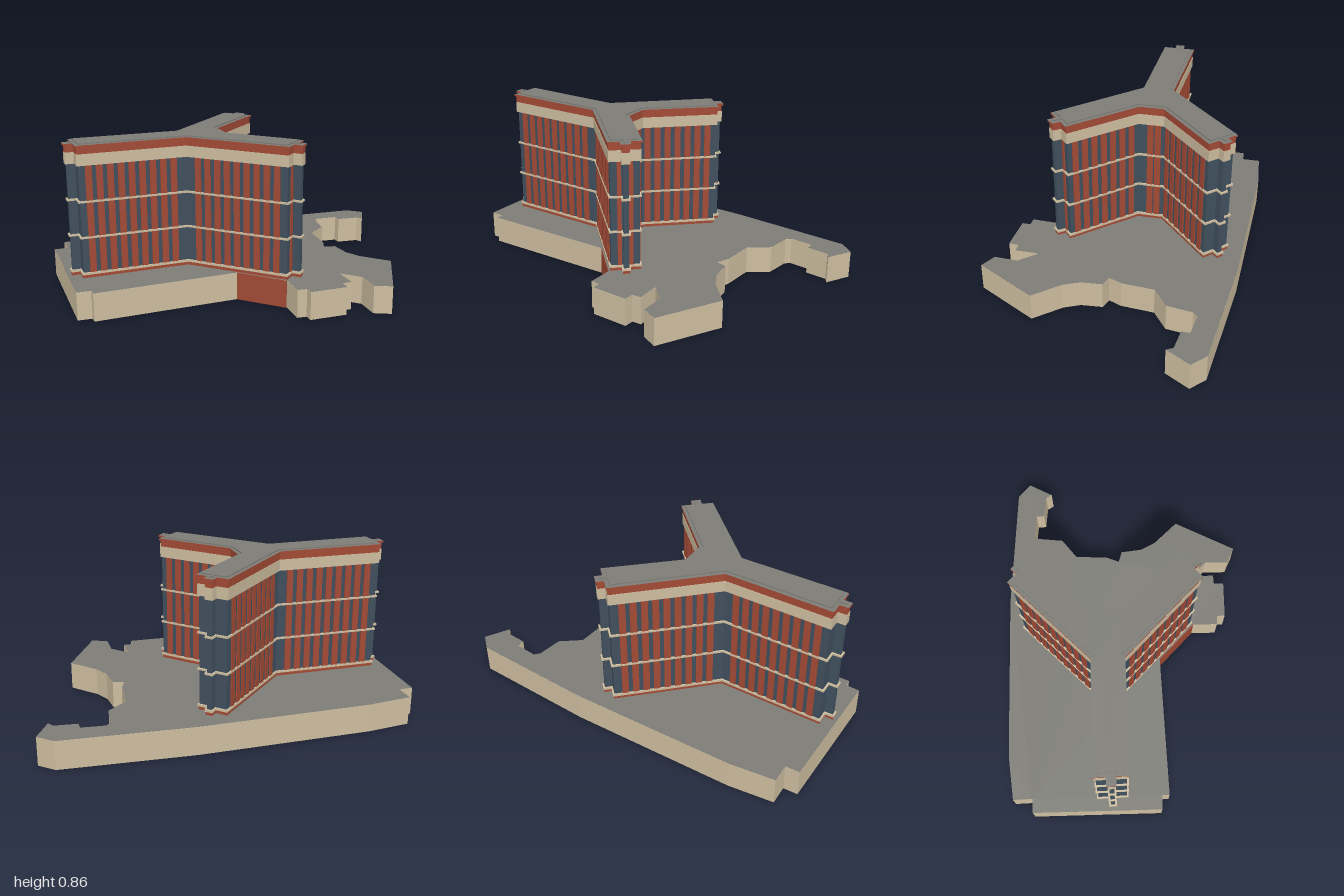
import * as THREE from 'three';

const mat = (name, color, side = THREE.FrontSide) => {
  const m = new THREE.MeshStandardMaterial({ color, side });
  m.name = name;
  return m;
};

// Ground plan of the podium, as [x, z]
const PODIUM = [
  [-0.905, -0.66], [-0.665, -0.68], [0.24, -0.66], [0.925, -0.6], [1, -0.53], [0.925, -0.4],
  [0.905, -0.435], [0.785, -0.45], [0.785, -0.495], [0.66, -0.51], [0.635, -0.485], [0.615, -0.345],
  [0.505, -0.265], [0.49, -0.085], [0.46, -0.015], [0.52, 0.005], [0.53, 0.12], [0.57, 0.205],
  [0.69, 0.34], [0.505, 0.67], [0.42, 0.625], [0.425, 0.495], [0.34, 0.405], [0.34, 0.535],
  [0.29, 0.535], [0.285, 0.59], [0.085, 0.58], [0.085, 0.535], [0.035, 0.53], [0.04, 0.39],
  [-0.155, 0.185], [-0.925, 0.185], [-0.925, 0.145], [-1, 0.14], [-0.98, -0.555], [-0.905, -0.555],
];

// Three-armed plan of the tower, with a small bay at each arm end
const TOWER = [
  [-0.93, -0.21], [-0.355, -0.19],
  [0.07, -0.59], [0.113, -0.545], [0.142, -0.573], [0.176, -0.538], [0.147, -0.51], [0.19, -0.465],
  [-0.125, -0.18], [-0.125, -0.045],
  [0.175, 0.275], [0.13, 0.315], [0.158, 0.35], [0.121, 0.385], [0.092, 0.348], [0.045, 0.39],
  [-0.355, -0.025], [-0.93, -0.035],
  [-0.93, -0.1], [-0.975, -0.1], [-0.975, -0.145], [-0.93, -0.145],
];

// Mitred offset of a plan; positive d grows it
function offset(plan, d) {
  const n = plan.length;
  const normal = (a, b) => {
    const dx = b[0] - a[0], dz = b[1] - a[1], l = Math.hypot(dx, dz);
    return [dz / l, -dx / l];
  };
  return plan.map((p, i) => {
    const a = normal(plan[(i + n - 1) % n], p);
    const b = normal(p, plan[(i + 1) % n]);
    const k = d / (1 + a[0] * b[0] + a[1] * b[1]);
    return [p[0] + (a[0] + b[0]) * k, p[1] + (a[1] + b[1]) * k];
  });
}

const toShape = (plan) => new THREE.Shape(plan.map(([x, z]) => new THREE.Vector2(x, -z)));

export function createModel() {
  const group = new THREE.Group();
  const brick = mat('brick', 0xa34a35);
  const stone = mat('stone', 0xcdbd9f);
  const glass = mat('glass', 0x40505e);
  const roof = mat('roof', 0x7d7c76);

  const add = (name, geometry, material) => {
    const mesh = new THREE.Mesh(geometry, material);
    mesh.name = name;
    group.add(mesh);
    return mesh;
  };
  // Upright slab of a plan between two heights
  const slab = (name, plan, y0, y1, material) => {
    const g = new THREE.ExtrudeGeometry(toShape(plan), { depth: y1 - y0, bevelEnabled: false });
    g.rotateX(-Math.PI / 2);
    g.translate(0, y0, 0);
    return add(name, g, material);
  };
  // Upright strip centred a given distance along the wall from a to b
  const strip = (name, a, b, along, width, y0, y1, depth, material) => {
    const dx = b[0] - a[0], dz = b[1] - a[1], l = Math.hypot(dx, dz);
    const m = add(name, new THREE.BoxGeometry(width, y1 - y0, depth), material);
    m.position.set(a[0] + dx / l * along, (y0 + y1) / 2, a[1] + dz / l * along);
    m.rotation.y = Math.atan2(-dz, dx);
  };

  // Podium with its paved top and the brick wall below the front arm
  slab('podium', PODIUM, 0, 0.15, stone);
  const deck = new THREE.ShapeGeometry(toShape(PODIUM)).rotateX(-Math.PI / 2);
  deck.translate(0, 0.151, 0);
  add('podiumDeck', deck, roof);
  const w0 = PODIUM[29], w1 = PODIUM[30];
  const wallLength = Math.hypot(w1[0] - w0[0], w1[1] - w0[1]);
  strip('brickWall', w0, w1, wallLength / 2, wallLength, 0, 0.15, 0.006, brick);

  // Tower body, stacked from plinth to roof
  const walls = offset(TOWER, -0.011);
  slab('plinth', offset(TOWER, -0.006), 0.14, 0.168, brick);
  slab('glazing', walls, 0.168, 0.75, glass);
  for (const [y0, y1] of [[0.168, 0.18], [0.365, 0.375], [0.556, 0.566]]) {
    slab('floorBand', offset(TOWER, -0.002), y0, y1, stone);
  }
  slab('upperBand', offset(TOWER, -0.003), 0.75, 0.81, stone);
  slab('frieze', offset(TOWER, -0.005), 0.81, 0.845, brick);
  slab('cornice', offset(TOWER, 0.002), 0.845, 0.856, [roof, brick]);
  slab('roofSlab', offset(TOWER, -0.018), 0.856, 0.862, roof);

  // Brick piers: [wall index, first edge, last edge, count], measured along each wall
  const pier = (i, along, width) =>
    strip('pier', walls[i], walls[(i + 1) % walls.length], along, width, 0.175, 0.752, 0.012, brick);
  const rows = [
    [0, 0.04, 0.52, 9], [1, 0.055, 0.535, 9], [7, 0.03, 0.405, 7],
    [8, 0.02, 0.095, 2], [9, 0.03, 0.405, 7], [15, 0.04, 0.52, 9], [16, 0.055, 0.535, 9],
  ];
  for (const [wall, start, end, count] of rows) {
    const width = 0.034;
    const step = (end - start - width) / (count - 1);
    for (let k = 0; k < count; k++) pier(wall, start + width / 2 + k * step, width);
  }
  // Narrow piers beside the bay of the front arm
  pier(10, 0.045, 0.022);
  pier(14, 0.018, 0.022);

  return group;
}
